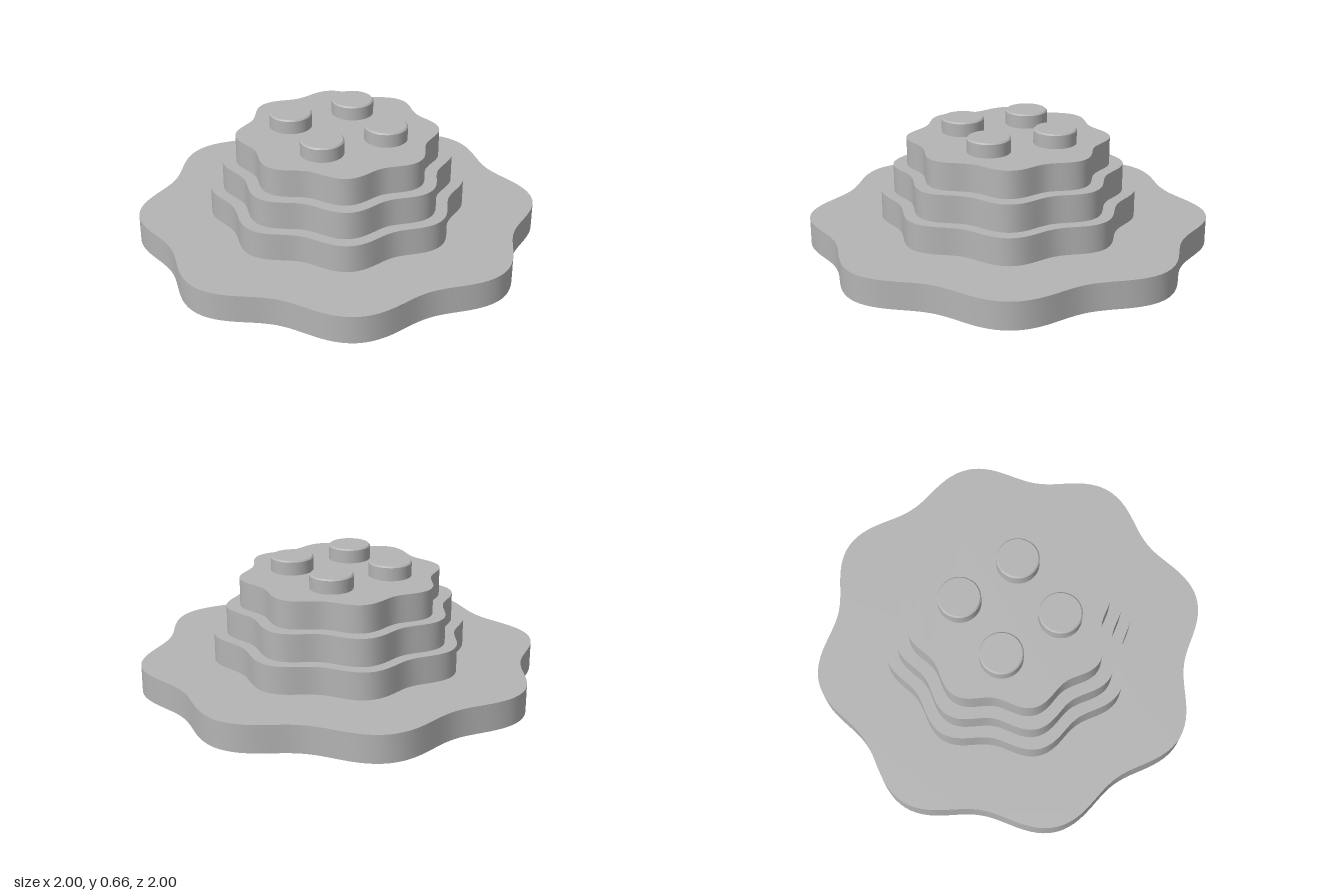
import * as THREE from 'three';
import { toCreasedNormals } from 'three/addons/utils/BufferGeometryUtils.js';

const STEP = 0.1467; // height of one tier
const RECESS = 0.087; // depth of the square recess underneath
const HALF = 0.355; // half side of the recess

// Closed outline with eight soft lobes
function lobedShape(radius, wave) {
  const points = [];
  const count = 192;
  for (let i = 0; i < count; i++) {
    const a = (i / count) * Math.PI * 2;
    const r = radius - wave * Math.cos(8 * a);
    points.push(new THREE.Vector2(r * Math.cos(a), r * Math.sin(a)));
  }
  return new THREE.Shape(points);
}

// Upright extrusion with smooth walls and sharp rims
function slab(shape, height) {
  const geometry = new THREE.ExtrudeGeometry(shape, { depth: height, bevelEnabled: false });
  geometry.rotateX(-Math.PI / 2);
  return toCreasedNormals(geometry, Math.PI / 6);
}

function lathe(profile) {
  const points = profile.map(([x, y]) => new THREE.Vector2(x, y));
  return toCreasedNormals(new THREE.LatheGeometry(points, 64), Math.PI / 6);
}

export function createModel() {
  const model = new THREE.Group();
  model.name = 'steppedMound';
  const grey = new THREE.MeshStandardMaterial({ color: 0xb4b4b4 });
  grey.name = 'grey';

  function add(name, geometry, x = 0, y = 0, z = 0) {
    const mesh = new THREE.Mesh(geometry, grey);
    mesh.name = name;
    mesh.position.set(x, y, z);
    model.add(mesh);
  }

  // Wide base with a square opening
  const baseShape = lobedShape(1.008, 0.052);
  baseShape.holes.push(new THREE.Path([
    new THREE.Vector2(-HALF, -HALF), new THREE.Vector2(-HALF, HALF),
    new THREE.Vector2(HALF, HALF), new THREE.Vector2(HALF, -HALF),
  ]));
  add('base', slab(baseShape, STEP));

  // Ceiling that closes the opening from above
  const ceiling = STEP - RECESS;
  add('recessCeiling', new THREE.BoxGeometry(HALF * 2, ceiling, HALF * 2), 0, RECESS + ceiling / 2, 0);

  // Socket ring inside the recess
  add('socketRing', lathe([
    [0.115, RECESS], [0.115, 0.008], [0.122, 0], [0.138, 0], [0.145, 0.008], [0.145, RECESS],
  ]));

  // Three shrinking tiers
  [[0.639, 0.0344], [0.573, 0.0325], [0.504, 0.029]].forEach(([radius, wave], i) => {
    add(`tier${i + 1}`, slab(lobedShape(radius, wave), STEP), 0, STEP * (i + 1), 0);
  });

  // Four round studs with softened rims
  const stud = lathe([[0.112, 0], [0.112, 0.07], [0.105, 0.077], [0, 0.077]]);
  for (const x of [-0.184, 0.184]) {
    for (const z of [-0.184, 0.184]) add('stud', stud, x, STEP * 4, z);
  }
  return model;
}
